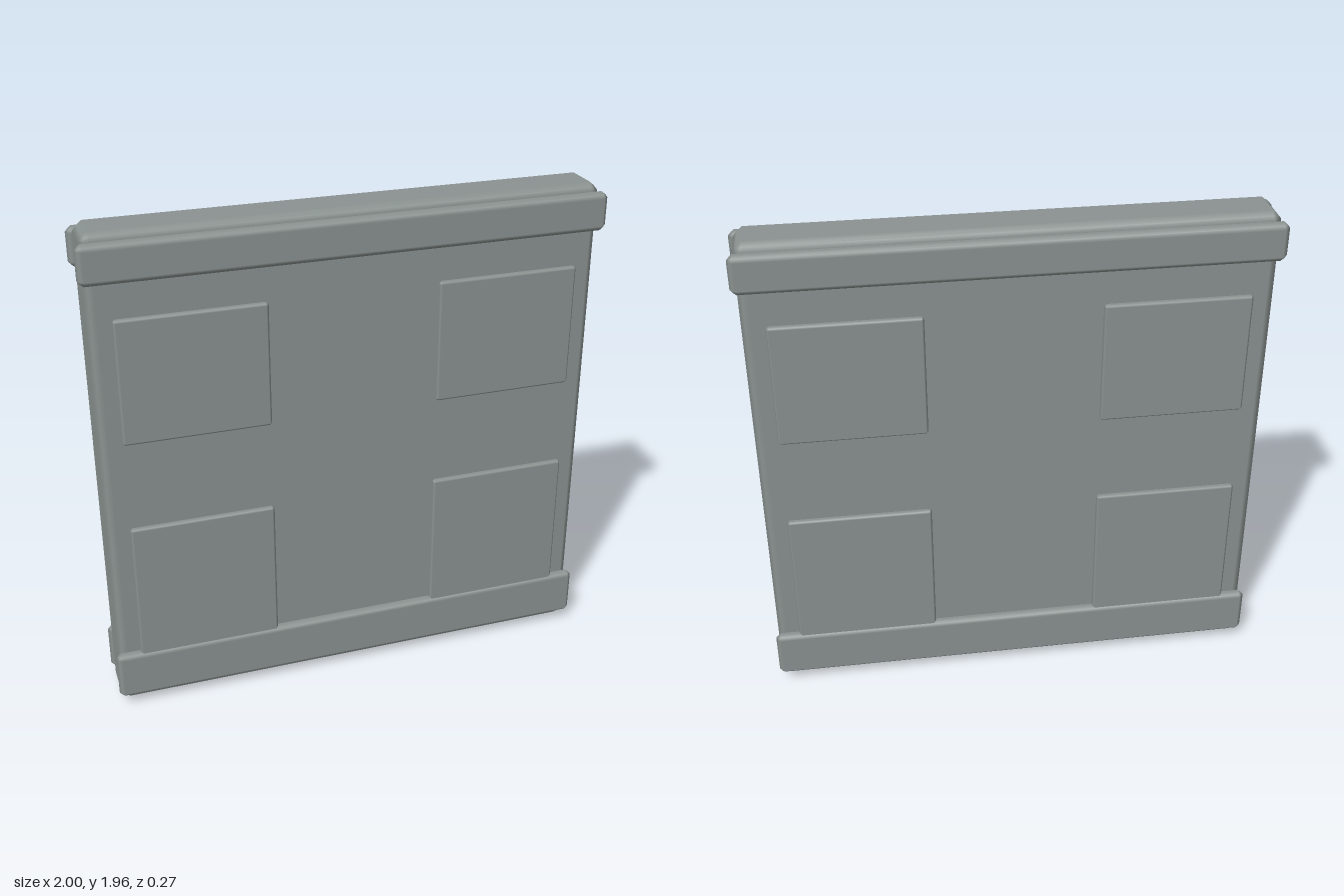
import * as THREE from 'three';

// Box with a smooth-shaded chamfer of width r, given by its min and max corners
function bevelBox(min, max, r) {
  const lo = new THREE.Vector3(...min), hi = new THREE.Vector3(...max);
  const centre = lo.clone().add(hi).multiplyScalar(0.5);
  const half = hi.clone().sub(lo).multiplyScalar(0.5).toArray();
  const geo = new THREE.BoxGeometry(1, 1, 1, 3, 3, 3);
  const pos = geo.attributes.position, nor = geo.attributes.normal;
  for (let i = 0; i < pos.count; i++) {
    const v = [pos.getX(i), pos.getY(i), pos.getZ(i)];
    const outer = v.map((c) => Math.abs(c) > 0.4);
    const n = outer.filter(Boolean).length;
    // face points stay on the face, edge and corner points drop onto the chamfer
    const inset = [0, 0, 0.45, 0.6][n] * r;
    const p = v.map((c, k) => Math.sign(c) * (half[k] - (outer[k] ? inset : r)));
    const d = new THREE.Vector3(...v.map((c, k) => (outer[k] ? Math.sign(c) : 0))).normalize();
    pos.setXYZ(i, ...p);
    nor.setXYZ(i, d.x, d.y, d.z);
  }
  return geo.translate(centre.x, centre.y, centre.z);
}

export function createModel() {
  const model = new THREE.Group();
  model.name = 'wallPanel';
  const metal = new THREE.MeshStandardMaterial({ color: 0x8a9290 });
  metal.name = 'grey metal';

  const add = (name, min, max, r) => {
    const mesh = new THREE.Mesh(bevelBox(min, max, r), metal);
    mesh.name = name;
    model.add(mesh);
  };

  // Main slab
  add('slab', [-0.98, 0, -0.1], [0.98, 1.96, 0.1], 0.035);

  // Rails and raised plates, the same on front and back
  for (const [side, s] of [['front', 1], ['back', -1]]) {
    const onFace = (name, x0, x1, y0, y1, zIn, zOut, r) =>
      add(side + name, [x0, y0, Math.min(s * zIn, s * zOut)], [x1, y1, Math.max(s * zIn, s * zOut)], r);

    onFace('TopRail', -1, 1, 1.78, 1.93, 0.08, 0.135, 0.022);
    onFace('BottomRail', -0.99, 0.99, 0.04, 0.24, 0.08, 0.13, 0.02);
    for (const [hand, x0, x1] of [['Left', 0.33, 0.893], ['Right', -0.893, -0.33]]) {
      onFace('Upper' + hand + 'Plate', x0, x1, 1.155, 1.645, 0.08, 0.119, 0.01);
      onFace('Lower' + hand + 'Plate', x0, x1, 0.2, 0.8, 0.08, 0.119, 0.01);
    }
  }
  return model;
}
